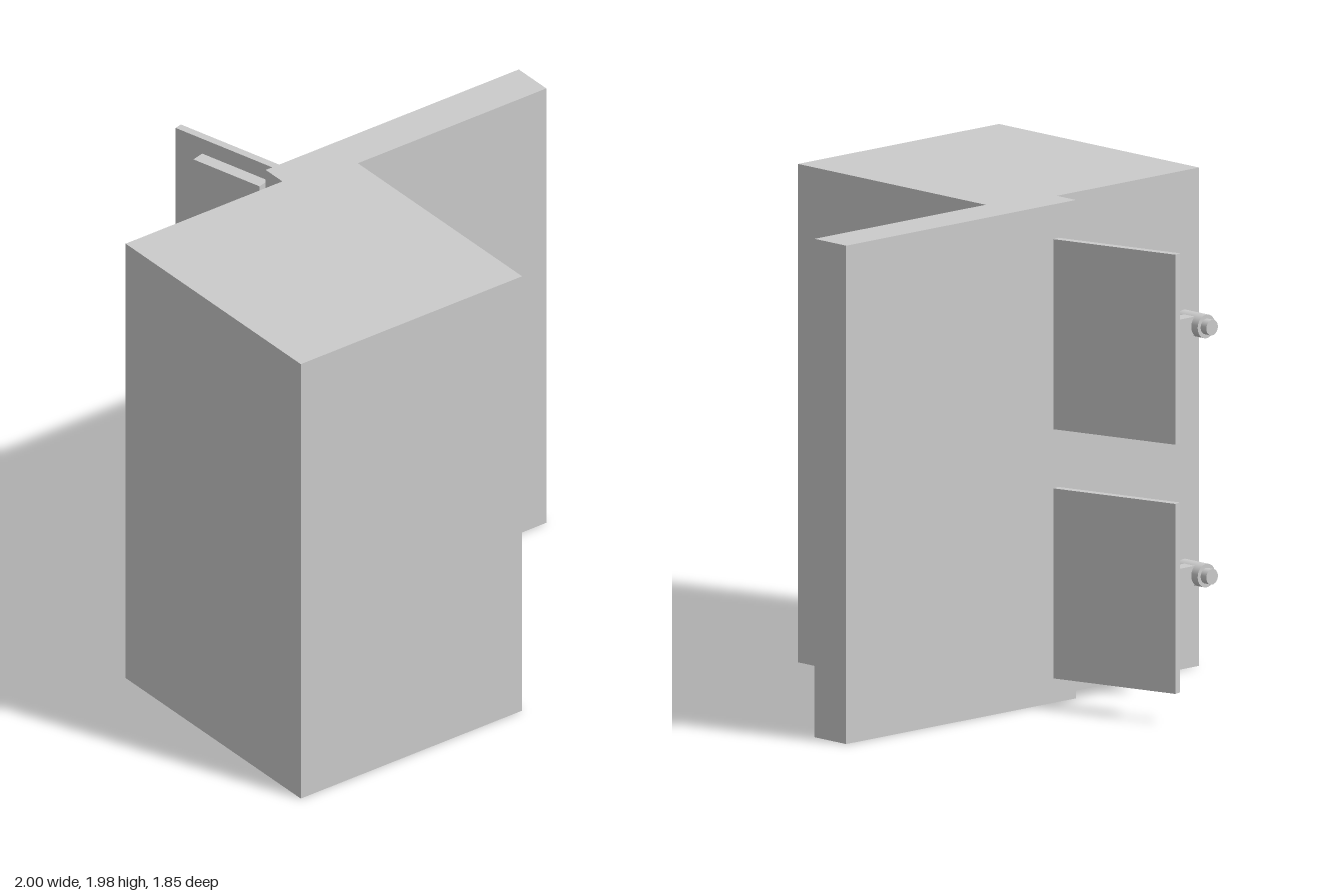
import * as THREE from 'three';

const material = new THREE.MeshStandardMaterial({ color: 0xcccccc });

function add(parent, name, geometry, x = 0, y = 0, z = 0) {
  const mesh = new THREE.Mesh(geometry, material);
  mesh.name = name;
  mesh.position.set(x, y, z);
  parent.add(mesh);
  return mesh;
}

function extrude(shape, depth) {
  return new THREE.ExtrudeGeometry(shape, { depth, bevelEnabled: false, curveSegments: 24 });
}

function polygon(points) {
  return new THREE.Shape(points.map(([x, y]) => new THREE.Vector2(x, y)));
}

// Cylinder lying along z between two depths
function rod(parent, name, radius, z0, z1) {
  const geometry = new THREE.CylinderGeometry(radius, radius, Math.abs(z1 - z0), 32);
  geometry.rotateX(Math.PI / 2);
  return add(parent, name, geometry, 0, 0, (z0 + z1) / 2);
}

// Teardrop plate: large disc at the post, small disc towards +x
function teardrop(R, r, d) {
  const a = Math.acos((R - r) / d);
  const shape = new THREE.Shape();
  shape.absarc(0, 0, R, a, 2 * Math.PI - a, false);
  shape.absarc(d, 0, r, -a, a, false);
  shape.closePath();
  return shape;
}

function createScreenMount(y) {
  const mount = new THREE.Group();
  mount.name = 'screenMount';

  // Wall plate, post and swivel, centred on the post axis
  const post = new THREE.Group();
  post.name = 'post';
  post.position.x = -0.568;
  mount.add(post);
  add(post, 'wallPlate', extrude(teardrop(0.113, 0.045, 0.233), 0.025), 0, 0, -0.226);
  rod(post, 'postSleeve', 0.047, -0.2, -0.5);
  rod(post, 'postPin', 0.031, -0.5, -0.73);
  rod(post, 'swivelCollar', 0.047, -0.57, -0.698);

  // Arm reaching sideways to the screen
  add(mount, 'arm', new THREE.BoxGeometry(0.37, 0.075, 0.058), -0.355, 0, -0.633);

  // Tilted screen with a notched back housing
  const screen = new THREE.Group();
  screen.name = 'screen';
  screen.position.set(-0.125, 0, -0.657);
  screen.rotation.y = 0.258;
  mount.add(screen);
  add(screen, 'screenPanel', new THREE.BoxGeometry(0.033, 0.755, 0.555));
  const housing = extrude(polygon([
    [-0.163, -0.31], [0.163, -0.31], [0.163, -0.13], [0.105, -0.13],
    [0.105, 0.13], [0.163, 0.13], [0.163, 0.31], [-0.163, 0.31],
  ]), 0.055);
  housing.rotateY(-Math.PI / 2);
  add(screen, 'screenHousing', housing, -0.0165, 0, 0.016);

  mount.position.y = y;
  return mount;
}

export function createModel() {
  const model = new THREE.Group();
  model.name = 'wallWithScreens';

  // Block with an adjoining wall, drawn in plan (x, -z) and raised
  const wall = extrude(polygon([
    [-1, -0.92], [0.08, -0.92], [0.08, 0.135], [1, 0.135],
    [1, 0.312], [-0.235, 0.312], [-0.235, 0.205], [-1, 0.205],
  ]), 1.98);
  wall.rotateX(-Math.PI / 2);
  add(model, 'wallBlock', wall);

  // Two identical screens, one above the other
  for (const y of [0.498, 1.488]) model.add(createScreenMount(y));
  return model;
}
